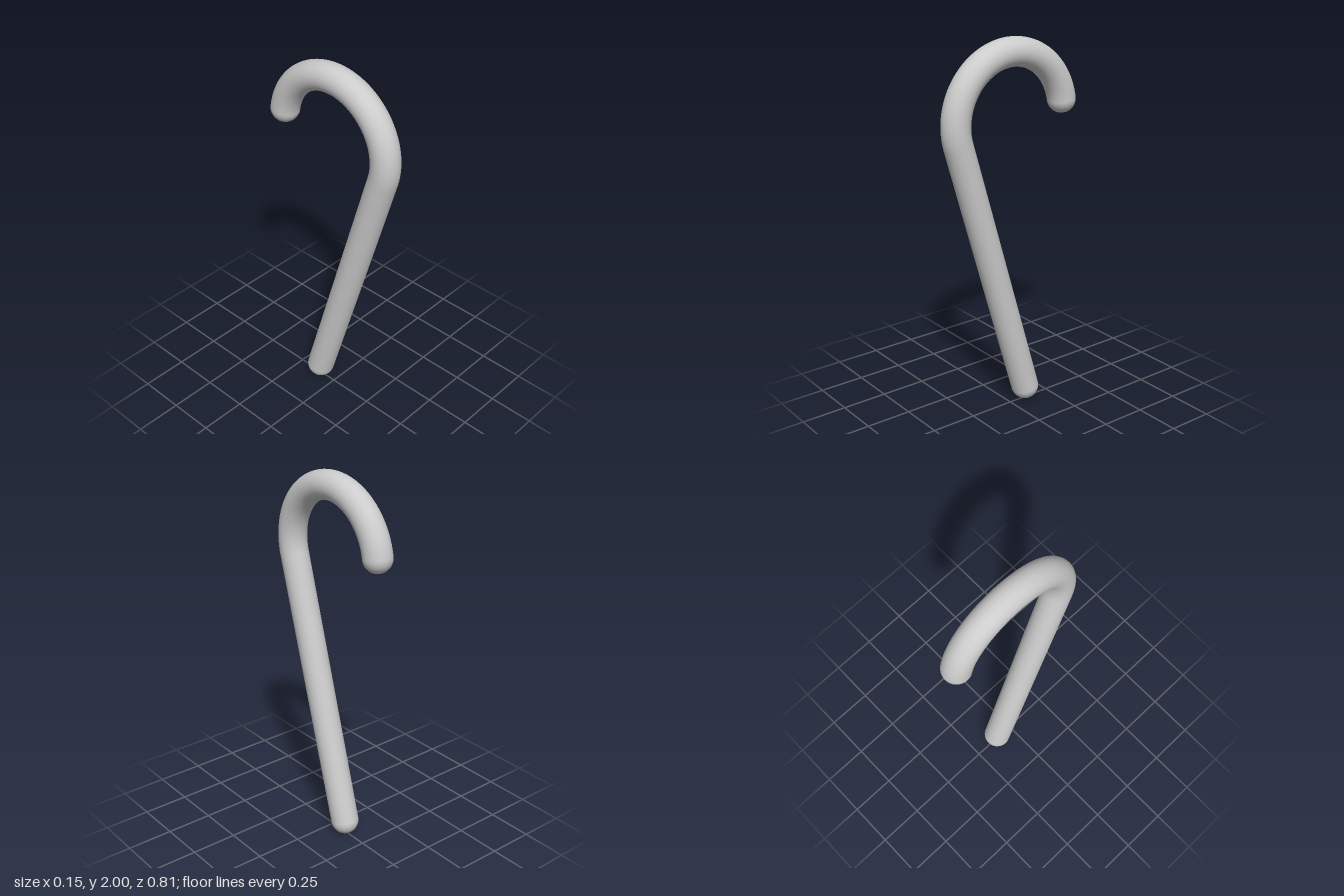
import * as THREE from 'three';

const RADIUS = 0.0745; // thickness of the rod
const HOOK = 0.334; // centre-line radius of the hook
const CENTER = new THREE.Vector3(0, 1.5915, -0.0025);
const FOOT = new THREE.Vector3(0, RADIUS, -0.1);
const SIDES = 48;

// Point on the hook; angle 0 points to +z, 90 degrees points up
const hookPoint = (angle) =>
  new THREE.Vector3(0, Math.sin(angle), Math.cos(angle)).multiplyScalar(HOOK).add(CENTER);

class HookCurve extends THREE.Curve {
  constructor(start, end) {
    super();
    this.start = start;
    this.end = end;
  }
  getPoint(t, target = new THREE.Vector3()) {
    return target.copy(hookPoint(THREE.MathUtils.lerp(this.start, this.end, t)));
  }
}

export function createModel() {
  const group = new THREE.Group();
  group.name = 'cane';
  const material = new THREE.MeshStandardMaterial({ color: 0xcccccc });
  const add = (name, geometry) => {
    const mesh = new THREE.Mesh(geometry, material);
    mesh.name = name;
    group.add(mesh);
    return mesh;
  };

  // The straight shaft runs tangentially into the hook
  const dz = CENTER.z - FOOT.z;
  const dy = CENTER.y - FOOT.y;
  const lean = Math.atan2(dz, dy) + Math.asin(HOOK / Math.hypot(dz, dy));
  const start = -lean;
  const end = THREE.MathUtils.degToRad(170);
  const joint = hookPoint(start);
  add('shaft', new THREE.TubeGeometry(new THREE.LineCurve3(FOOT, joint), 1, RADIUS, SIDES));
  add('hook', new THREE.TubeGeometry(new HookCurve(start, end), 96, RADIUS, SIDES));

  // Rounded ends
  const up = new THREE.Vector3(0, 1, 0);
  const addCap = (name, position, direction) => {
    const cap = add(name, new THREE.SphereGeometry(RADIUS, SIDES, 16, 0, Math.PI * 2, 0, Math.PI / 2));
    cap.position.copy(position);
    cap.quaternion.setFromUnitVectors(up, direction.normalize());
  };
  addCap('footCap', FOOT, FOOT.clone().sub(joint));
  addCap('hookTip', hookPoint(end), new THREE.Vector3(0, Math.cos(end), -Math.sin(end)));

  return group;
}
